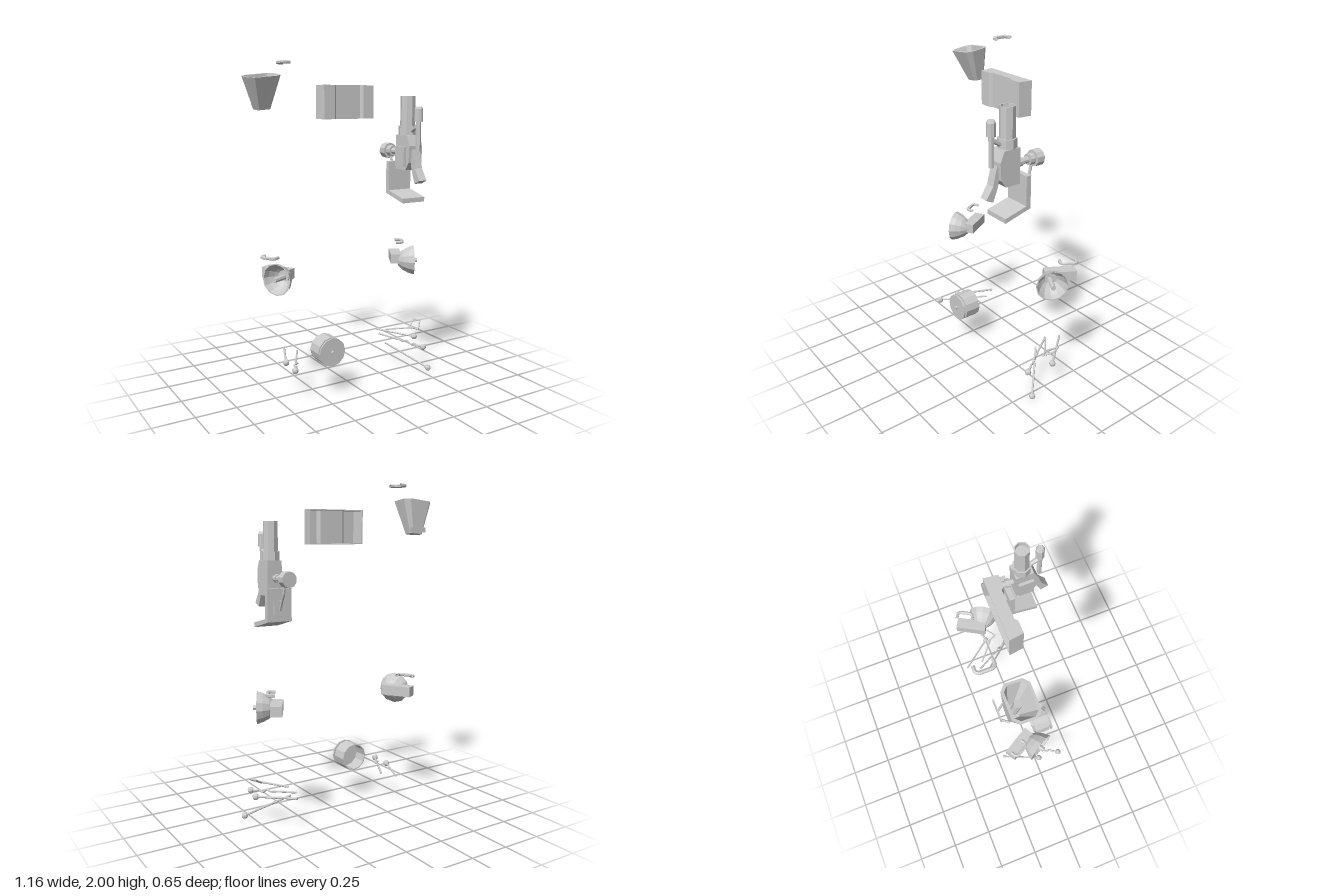
import * as THREE from 'three';

const mat = new THREE.MeshStandardMaterial({ color: 0xcccccc, flatShading: true, side: THREE.DoubleSide });
const V = (p) => new THREE.Vector3(...p);

function add(parent, name, geo, pos = [0, 0, 0]) {
  const m = new THREE.Mesh(geo, mat);
  m.name = name;
  m.position.set(...pos);
  parent.add(m);
  return m;
}
const box = (parent, name, size, pos) => add(parent, name, new THREE.BoxGeometry(...size), pos);

// Straight round bar from a to b
function rod(parent, name, a, b, r, sides = 6, r2 = r) {
  const d = V(b).sub(V(a));
  const m = add(parent, name, new THREE.CylinderGeometry(r2, r, d.length(), sides), V(a).add(V(b)).multiplyScalar(0.5).toArray());
  m.quaternion.setFromUnitVectors(new THREE.Vector3(0, 1, 0), d.normalize());
  return m;
}

// Bent bar through a few points
function bent(parent, name, pts, r, closed = false) {
  const c = new THREE.CatmullRomCurve3(pts.map(V), closed, 'catmullrom', 0.1);
  return add(parent, name, new THREE.TubeGeometry(c, pts.length * 5, r, 6, closed));
}

// Profile in (z, y), extruded across x
function slab(parent, name, pts, x, width) {
  const g = new THREE.ExtrudeGeometry(new THREE.Shape(pts.map((p) => new THREE.Vector2(...p))), { depth: width, bevelEnabled: false });
  g.rotateY(-Math.PI / 2).translate(x + width / 2, 0, 0);
  return add(parent, name, g);
}

// Plan outline in (x, z), extruded upwards
function plate(parent, name, pts, y, height) {
  const g = new THREE.ExtrudeGeometry(new THREE.Shape(pts.map(([x, z]) => new THREE.Vector2(x, -z))), { depth: height, bevelEnabled: false });
  g.rotateX(-Math.PI / 2).translate(0, y, 0);
  return add(parent, name, g);
}

// Skin over a list of rings with equal point counts
function loft(rings) {
  const n = rings[0].length, idx = [];
  for (let r = 0; r < rings.length - 1; r++) {
    for (let i = 0; i < n; i++) {
      const a = r * n + i, b = r * n + (i + 1) % n;
      idx.push(a, a + n, b, b, a + n, b + n);
    }
  }
  const g = new THREE.BufferGeometry();
  g.setAttribute('position', new THREE.Float32BufferAttribute(rings.flat(2), 3));
  g.setIndex(idx);
  g.computeVertexNormals();
  return g;
}

// C-shaped handle, closed side towards local +z
function handle(parent, pos, turn) {
  const m = bent(parent, 'handle', [[-0.049, 0, -0.042], [-0.049, 0, -0.014], [-0.036, 0, 0],
    [0.036, 0, 0], [0.049, 0, -0.014], [0.049, 0, -0.042]], 0.0105);
  m.position.set(...pos);
  m.rotation.y = turn;
}

// Round horn facing local +z with its mount and handle
function roundHorn() {
  const g = new THREE.Group();
  const profile = [[0, -0.105], [0.036, -0.1], [0.066, -0.07], [0.086, -0.035], [0.098, 0],
    [0.091, 0], [0.079, -0.032], [0.058, -0.064], [0.03, -0.09], [0, -0.09]];
  add(g, 'hornBell', new THREE.LatheGeometry(profile.map((p) => new THREE.Vector2(...p)), 12).rotateX(Math.PI / 2));
  rod(g, 'hornDriver', [0, 0, -0.09], [0, 0, 0.024], 0.018, 8, 0.015);
  box(g, 'hornMount', [0.19, 0.062, 0.07], [0.065, 0.012, -0.114]);
  handle(g, [0.108, 0.105, -0.066], 0);
  g.position.set(0.498, 0.73, -0.017);
  g.rotation.y = Math.PI / 3;
  return g;
}

// Rectangular horn that opens upwards
function squareHorn(parent) {
  const ring = (cx, cy, cz, w, d, sx = 0, sz = 0) => {
    const a = w / 2, b = d / 2, c = Math.min(w, d) * 0.2;
    return [[a, b - c], [a - c, b], [c - a, b], [-a, b - c], [-a, c - b], [c - a, -b], [a - c, -b], [a, c - b]]
      .map(([x, z]) => [cx + x, cy + sx * x + sz * z, cz + z]);
  };
  add(parent, 'squareHorn', loft([
    ring(-0.46, 1.712, -0.2, 0, 0), ring(-0.46, 1.715, -0.198, 0.09, 0.07, 0.08, -0.1),
    ring(-0.477, 1.907, -0.16, 0.205, 0.15, 0.1, -0.14), ring(-0.477, 1.907, -0.16, 0.178, 0.122, 0.1, -0.14),
    ring(-0.462, 1.735, -0.195, 0.07, 0.05, 0.08, -0.1), ring(-0.462, 1.735, -0.195, 0, 0)]));
  rod(parent, 'squareHornDriver', [-0.461, 1.73, -0.196], [-0.471, 1.86, -0.172], 0.022, 8);
  box(parent, 'wallPlate', [0.115, 0.03, 0.008], [-0.433, 1.74, -0.266]);
  for (const s of [-1, 1]) rod(parent, 'plateStrut', [-0.46 + s * 0.024, 1.74, -0.264], [-0.46 + s * 0.05, 1.74, -0.23], 0.006);
  handle(parent, [-0.305, 1.99, -0.265], -Math.PI / 2);
}

// Shallow cover, open at the back, with a recessed front centre
function cover(parent) {
  const half = (inset) => [[0.182 - inset, -0.093], [0.172 - inset, -0.012 - inset], [0.1 - inset, -0.012 - inset], [0.084 - inset, -0.027 - inset]];
  const outline = (inset) => {
    const h = half(inset);
    return [...h, ...h.slice().reverse().map(([x, z]) => [-x, z])];
  };
  const g = new THREE.Group();
  g.name = 'cover';
  plate(g, 'coverWall', [...outline(0), ...outline(0.007).reverse()], 1.657, 0.198);
  for (const y of [1.656, 1.849]) plate(g, 'coverEdge', outline(0), y, 0.006);
  g.position.x = 0.026;
  parent.add(g);
}

function machine(parent) {
  const g = new THREE.Group(), x = 0.325;
  g.name = 'machine';
  // Upright barrel and body
  const bore = [[0.038, 1.765], [0.038, 1.79], [0.045, 1.79], [0.045, 1.61]].map((p) => new THREE.Vector2(...p));
  add(g, 'barrel', new THREE.LatheGeometry([new THREE.Vector2(0, 1.765), ...bore], 8), [x, 0, 0.168]);
  add(g, 'collar', new THREE.CylinderGeometry(0.054, 0.054, 0.055, 8), [x, 1.588, 0.168]);
  slab(g, 'body', [[0.118, 1.355], [0.212, 1.355], [0.245, 1.4], [0.25, 1.5], [0.225, 1.562], [0.116, 1.562]], x + 0.002, 0.095);
  box(g, 'sideBlock', [0.025, 0.12, 0.09], [0.274, 1.435, 0.175]);
  // Grip and sight tube at the front
  slab(g, 'grip', [[0.235, 1.45], [0.255, 1.48], [0.282, 1.37], [0.328, 1.3], [0.282, 1.278], [0.25, 1.36]], x, 0.054);
  rod(g, 'sightStem', [x, 1.47, 0.275], [x, 1.65, 0.275], 0.016);
  rod(g, 'sightLink', [x, 1.62, 0.27], [x, 1.585, 0.21], 0.014);
  add(g, 'sightCap', new THREE.CylinderGeometry(0.026, 0.026, 0.075, 8), [x, 1.68, 0.275]);
  add(g, 'sightTip', new THREE.CylinderGeometry(0.018, 0.026, 0.014, 8), [x, 1.724, 0.275]);
  // Pipe and knob at the back
  for (const [name, z0, z1, r] of [['pipe', 0.12, 0.01, 0.019], ['pipeRing', 0.095, 0.072, 0.026],
    ['pipeCollar', 0.025, -0.01, 0.033], ['knob', -0.01, -0.06, 0.048]]) {
    rod(g, name, [x, 1.458, z0], [x, 1.458, z1], r, 10);
  }
  // Angled stand
  slab(g, 'stand', [[0.065, 1.4], [0.065, 1.205], [0.24, 1.16], [0.24, 1.188], [0.095, 1.224], [0.095, 1.4]], x, 0.162);
  box(g, 'standPad', [0.08, 0.085, 0.01], [x, 1.29, 0.061]);
  bent(g, 'cable', [[x, 1.42, 0], [x, 1.37, 0.012], [x, 1.33, 0.035], [x, 1.275, 0.06]], 0.009);
  parent.add(g);
}

// Open-backed drum with a front disc
function drum(parent) {
  const pts = [[0.08, 0.045], [0.0865, 0.045], [0.0865, 0.145], [0.072, 0.145], [0.072, 0.158],
    [0.0875, 0.158], [0.0875, 0.167], [0, 0.167], [0, 0.135], [0.08, 0.135], [0.08, 0.045]];
  add(parent, 'drum', new THREE.LatheGeometry(pts.map((p) => new THREE.Vector2(...p)), 12).rotateX(Math.PI / 2), [-0.2, 0.287, 0]);
  rod(parent, 'drumHub', [-0.2, 0.287, 0.165], [-0.2, 0.287, 0.18], 0.012, 8);
}

// Ball-ended lever; wave gives the sideways direction of its kinks
function lever(parent, a, b, wave) {
  const kinks = wave ? [[0.5, 0], [0.57, -0.3], [0.64, 0.9], [0.74, -0.9], [0.81, 0.5], [0.86, 0]] : [];
  const at = ([t, k]) => V(a).lerp(V(b), t).addScaledVector(V(wave || [0, 0, 0]), k * 0.012).toArray();
  const path = [[0, 0], ...kinks, [1, 0]].map(at);
  if (wave) bent(parent, 'wavyLever', path, 0.0065);
  else rod(parent, 'lever', a, b, 0.0065);
  add(parent, 'leverBall', new THREE.SphereGeometry(0.02, 8, 6), b);
}

export function createModel() {
  const root = new THREE.Group();
  root.name = 'partsLayout';

  squareHorn(root);
  cover(root);
  machine(root);
  drum(root);

  // Mirrored pair of round horns
  for (const s of [1, -1]) {
    const side = new THREE.Group();
    side.name = s > 0 ? 'leftRoundHorn' : 'rightRoundHorn';
    side.add(roundHorn());
    side.scale.x = s;
    side.position.x = 0.025;
    root.add(side);
  }

  // Levers
  lever(root, [-0.33, 0.217, -0.225], [-0.43, 0.217, 0.005]);
  lever(root, [-0.282, 0.217, -0.138], [-0.44, 0.217, 0.145], [0.87, 0, 0.49]);
  lever(root, [0.38, 0.217, -0.225], [0.545, 0.196, -0.02]);
  lever(root, [0.338, 0.218, -0.14], [0.502, 0.178, 0.135], [0, 1, 0]);
  lever(root, [0.338, 0.176, -0.065], [0.545, 0.025, 0.135]);

  // Rod with a square loop
  rod(root, 'loopRod', [0.375, 0.25, -0.11], [0.512, 0.274, 0.012], 0.006);
  const loop = [[0.525, 0.27, 0.05], [0.575, 0.305, 0], [0.56, 0.31, -0.05], [0.5, 0.27, -0.015]];
  loop.forEach((p, i) => rod(root, 'loopSide', p, loop[(i + 1) % 4], 0.005));
  return root;
}
